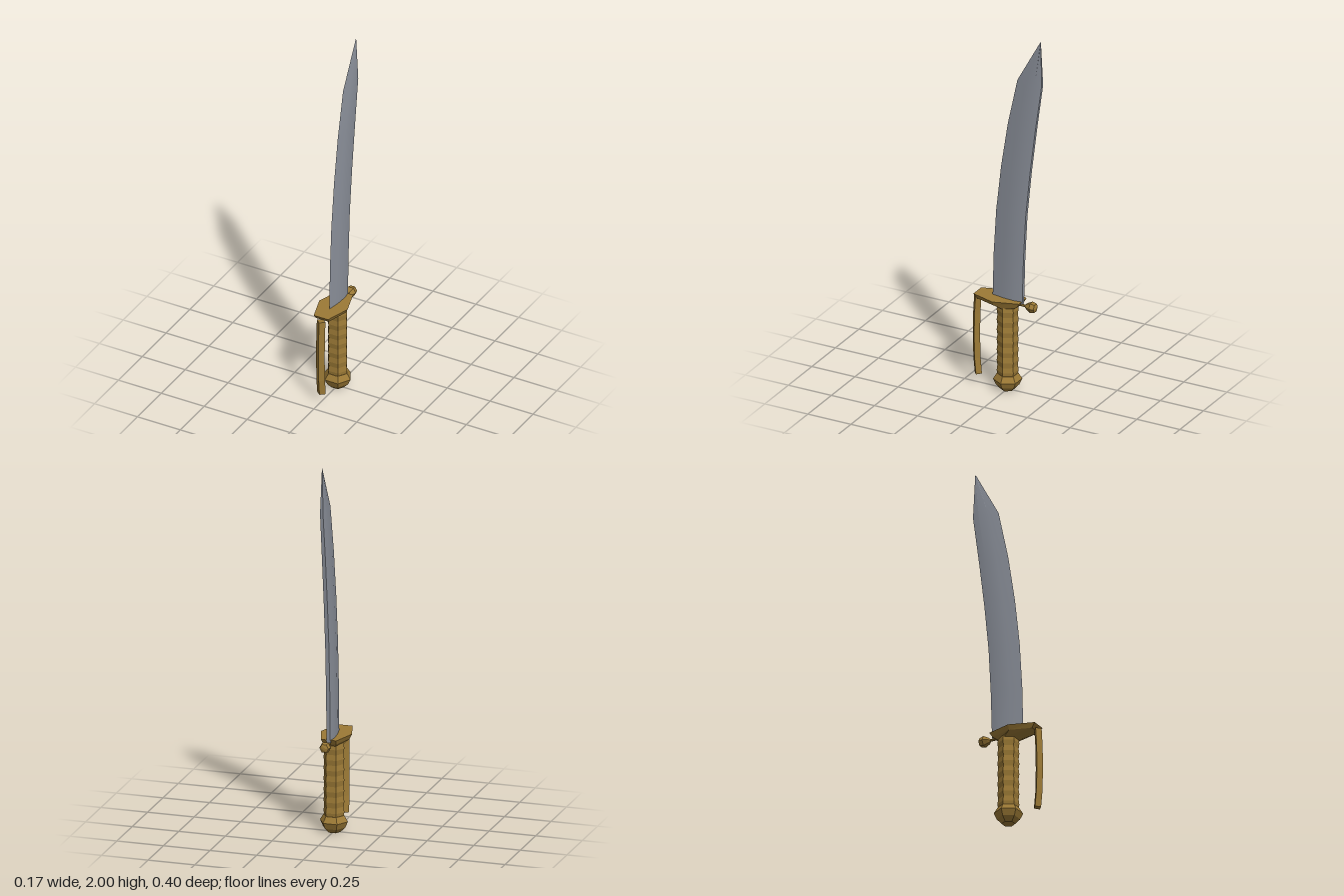
import * as THREE from 'three';
import { toCreasedNormals } from 'three/addons/utils/BufferGeometryUtils.js';

// Joins rings of [x, y, z] (bottom to top, counter-clockwise from above) into a closed solid.
function loft(rings, crease = 0) {
  const pos = [];
  const tri = (a, b, c) => pos.push(...a, ...b, ...c);
  const n = rings[0].length;
  for (let k = 0; k < rings.length - 1; k++) {
    const lo = rings[k], hi = rings[k + 1];
    for (let i = 0; i < n; i++) {
      const j = (i + 1) % n;
      tri(lo[i], lo[j], hi[j]);
      tri(lo[i], hi[j], hi[i]);
    }
  }
  const bottom = rings[0], top = rings[rings.length - 1];
  for (let i = 1; i < n - 1; i++) {
    tri(bottom[0], bottom[i + 1], bottom[i]);
    tri(top[0], top[i], top[i + 1]);
  }
  const geo = new THREE.BufferGeometry();
  geo.setAttribute('position', new THREE.Float32BufferAttribute(pos, 3));
  geo.computeVertexNormals();
  return crease ? toCreasedNormals(geo, crease) : geo;
}

// Six-sided ring with corners on the x axis.
function hexRing(y, r) {
  return Array.from({ length: 6 }, (_, i) => {
    const a = (i * Math.PI) / 3;
    return [r * Math.cos(a), y, -r * Math.sin(a)];
  });
}

export function createModel() {
  const group = new THREE.Group();
  const steel = new THREE.MeshStandardMaterial({ color: 0x8c919b });
  steel.name = 'steel';
  const brass = new THREE.MeshStandardMaterial({ color: 0x9c7a36 });
  brass.name = 'brass';
  const add = (name, geo, mat) => {
    const mesh = new THREE.Mesh(geo, mat);
    mesh.name = name;
    group.add(mesh);
    return mesh;
  };

  // Blade: [height, cutting edge z, spine z, thickness factor]
  const bladeRings = [
    [0.5, 0.087, -0.09, 1],
    [0.75, 0.081, -0.097, 1],
    [1.0, 0.066, -0.11, 1],
    [1.25, 0.038, -0.135, 0.97],
    [1.5, -0.001, -0.166, 0.93],
    [1.76, -0.057, -0.202, 0.8],
    [2.0, -0.189, -0.193, 0.1],
  ].map(([y, edge, spine, f]) => {
    const half = [[0.62, 0.0125], [0.25, 0.017], [0, 0.01]]
      .map(([t, w]) => [w * f, y, spine + (edge - spine) * t]);
    const mirrored = half.map(([x, h, z]) => [-x, h, z]).reverse();
    return [[0, y, edge], ...half, ...mirrored];
  });
  add('blade', loft(bladeRings, 0.35), steel);

  // Guard: stretched hexagonal plate, tapering towards the grip
  const guardRings = [
    [0.47, 0.05, 0.055, -0.045],
    [0.49, 0.07, 0.158, -0.074],
    [0.515, 0.083, 0.176, -0.088],
  ].map(([y, w, front, back]) => {
    const mid = (front + back) / 2;
    return [
      [w, y, mid], [w / 2, y, back], [-w / 2, y, back],
      [-w, y, mid], [-w / 2, y, front], [w / 2, y, front],
    ];
  });
  add('guard', loft(guardRings), brass);

  // Grip: six-sided with shallow finger swells
  const gripRings = [];
  for (let i = 0; i <= 14; i++) {
    gripRings.push(hexRing(0.08 + i * 0.0285, i % 2 ? 0.056 : 0.052));
  }
  add('grip', loft(gripRings), brass);

  // Pommel
  const pommel = [[0, 0.035], [0.025, 0.06], [0.058, 0.075], [0.09, 0.055]];
  add('pommel', loft(pommel.map(([y, r]) => hexRing(y, r))), brass);

  // Knuckle bow: diamond bar, gently bowed forward
  const bowRings = [
    [0.052, 0.17], [0.14, 0.178], [0.27, 0.181], [0.39, 0.179], [0.492, 0.173],
  ].map(([y, z]) => [
    [0.025, y, z], [0, y, z - 0.021], [-0.025, y, z], [0, y, z + 0.021],
  ]);
  add('knuckleBow', loft(bowRings), brass);

  // Rear finial: small faceted ball on a flared neck, turned about the z axis
  const finial = [
    [0.024, -0.162], [0.03, -0.138], [0.018, -0.114], [0.007, -0.102], [0.006, -0.07],
  ];
  const profile = [[0.008, -0.168], ...finial].map(([r, z]) => [r, z]);
  const finialRings = profile.map(([r, z]) => hexRing(z, r));
  const ball = add('rearFinial', loft(finialRings), brass);
  ball.rotation.x = Math.PI / 2;
  ball.position.y = 0.492;

  return group;
}
